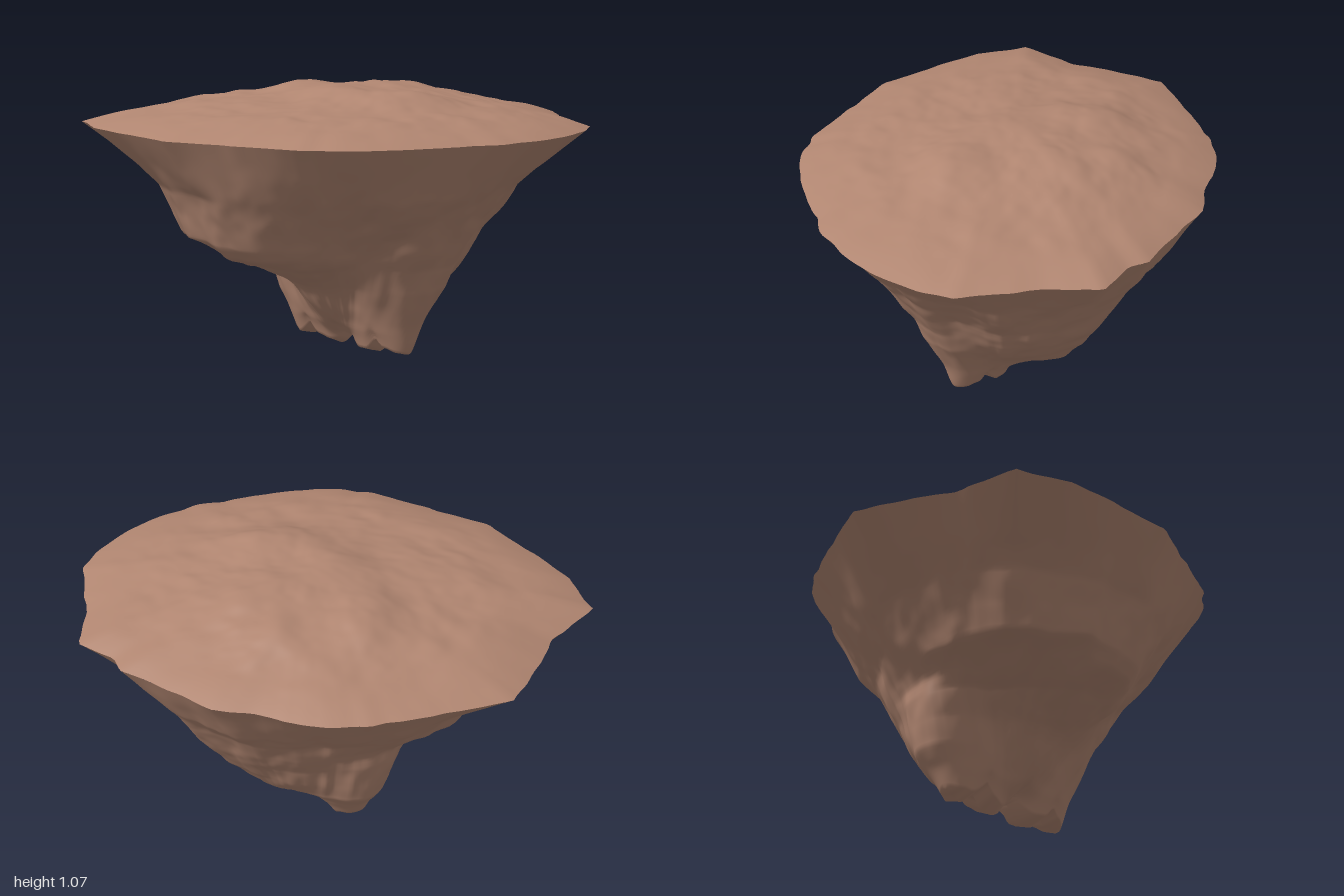
import * as THREE from 'three';

const SEGS = 220;
const CX = 0.08, CZ = -0.03; // axis of the rock
const RIM_Y = 0.925;

// Shoreline as x, z pairs
const RIM = [[1, .1], [.97, .22], [.93, .3], [.87, .4], [.75, .52], [.62, .62], [.52, .65], [.4, .71], [.2, .78],
  [.07, .8], [-.1, .78], [-.2, .74], [-.4, .65], [-.6, .57], [-.7, .45], [-.8, .34], [-.92, .2], [-.95, .1],
  [-1, 0], [-.93, -.1], [-.85, -.2], [-.8, -.36], [-.7, -.6], [-.5, -.68], [-.2, -.79], [-.05, -.81], [.1, -.79],
  [.2, -.76], [.36, -.75], [.5, -.66], [.72, -.55], [.76, -.48], [.91, -.4], [.92, -.2], [.96, -.05]];

// Underside radii every 45 degrees, from +x towards +z: height, eight radii
const LEVELS = [
  [.05, .05, .31, .05, .025, .05, .31, .05, .03],
  [.12, .18, .34, .15, .13, .15, .35, .20, .18],
  [.20, .27, .38, .21, .21, .20, .40, .30, .30],
  [.30, .37, .43, .28, .31, .27, .42, .35, .39],
  [.40, .45, .46, .37, .47, .36, .45, .39, .46],
  [.45, .48, .49, .42, .61, .50, .46, .42, .49],
  [.50, .50, .52, .47, .66, .66, .50, .45, .52],
  [.60, .57, .59, .56, .70, .71, .58, .50, .58],
  [.70, .65, .67, .65, .74, .77, .67, .59, .66]];

// Hills on the land: x, z, height, width along x, width along z
const HILLS = [[-.15, -.27, .065, .11, .13], [.28, .16, .08, .2, .11], [.24, -.2, .065, .19, .18],
  [0, 0, .06, .19, .16], [-.5, -.3, .012, .2, .12], [.08, -.42, .035, .3, .1]];

const lerp = THREE.MathUtils.lerp, smooth = THREE.MathUtils.smoothstep;

function hash(x, y, z) {
  const s = Math.sin(x * 127.1 + y * 311.7 + z * 74.7) * 43758.5453;
  return s - Math.floor(s);
}

function noise(x, y, z) {
  const i = Math.floor(x), j = Math.floor(y), k = Math.floor(z);
  const f = (t) => t * t * (3 - 2 * t);
  const u = f(x - i), v = f(y - j), w = f(z - k);
  const row = (b, c) => lerp(hash(i, b, c), hash(i + 1, b, c), u);
  const sheet = (c) => lerp(row(j, c), row(j + 1, c), v);
  return lerp(sheet(k), sheet(k + 1), w) * 2 - 1;
}

const fbm = (x, y, z) => noise(x, y, z) * .6 + noise(x * 2.1, y * 2.1, z * 2.1) * .3 + noise(x * 4.3, y * 4.3, z * 4.3) * .12;

// Distance from the axis to the shoreline at an angle
function rimRadius(a) {
  const dx = Math.cos(a), dz = Math.sin(a);
  let best = 0;
  RIM.forEach(([x, z], i) => {
    const [x2, z2] = RIM[(i + 1) % RIM.length];
    const ex = x2 - x, ez = z2 - z, px = x - CX, pz = z - CZ;
    const det = dx * ez - dz * ex;
    if (Math.abs(det) < 1e-9) return;
    const r = (px * ez - pz * ex) / det, s = (px * dz - pz * dx) / det;
    if (r > 0 && s >= -1e-6 && s <= 1 + 1e-6) best = Math.max(best, r);
  });
  return best + .008 * noise(dx * 14, 3.5, dz * 14);
}

// Smooth interpolation round the eight radii of one level
function levelRadius(level, a) {
  const t = a / (Math.PI / 4), i = Math.floor(t), f = t - i;
  const r = (k) => level[1 + ((i + k + 8) % 8)];
  const m0 = (r(1) - r(-1)) / 2, m1 = (r(2) - r(0)) / 2, d = r(1) - r(0);
  return r(0) + f * (m0 + f * (3 * d - 2 * m0 - m1 + f * (m0 + m1 - 2 * d)));
}

function sideRadius(y, a, rim) {
  for (let i = 1; i < LEVELS.length; i++) {
    const lo = LEVELS[i - 1], hi = LEVELS[i];
    if (y <= hi[0]) return lerp(levelRadius(lo, a), levelRadius(hi, a), (y - lo[0]) / (hi[0] - lo[0]));
  }
  return lerp(levelRadius(LEVELS.at(-1), a), rim, (y - .7) / (RIM_Y - .7));
}

// Closed rings joined into one smooth surface
function loft(rings, point) {
  const pos = [], index = [];
  for (let j = 0; j <= rings; j++) {
    for (let i = 0; i < SEGS; i++) {
      pos.push(...point(j / rings, i / SEGS * Math.PI * 2, j));
      if (j === rings) continue;
      const n = (i + 1) % SEGS, a = j * SEGS, b = a + SEGS;
      index.push(a + i, b + i, a + n, a + n, b + i, b + n);
    }
  }
  const geo = new THREE.BufferGeometry();
  geo.setAttribute('position', new THREE.Float32BufferAttribute(pos, 3));
  geo.setIndex(index);
  geo.computeVertexNormals();
  return geo;
}

// Craggy underside, closing at the bottom in a toothed diagonal ridge
function undersidePoint(v, a, ring) {
  const dx = Math.cos(a), dz = Math.sin(a);
  let y = lerp(.05, RIM_Y, v);
  let r = sideRadius(y, a, rimRadius(a));
  const rough = smooth(y, .05, .3) * (1 - smooth(y, .6, .9));
  const x0 = dx * r, z0 = dz * r;
  const t = (x0 + z0) / Math.SQRT2 + .035; // position along the ridge
  const wave = Math.abs(Math.sin((t - .055) / .19 * Math.PI));
  const teeth = .03 - .06 * wave + .012 * noise(t * 30, 2, 7);
  const low = 1 - smooth(y, .05, .16);
  r += rough * (.035 * fbm(x0 * 5, y * 3, z0 * 5) + .015 * fbm(dx * 6, y * 1.5, dz * 6));
  r += .02 * fbm(dx * 4, y * 2, dz * 4) * smooth(y, .5, .7) * (1 - smooth(y, .7, RIM_Y));
  y += rough * .02 * fbm(x0 * 7, 5, z0 * 7) + teeth * low;
  if (ring === 0) {
    const k = (x0 + z0) / 2;
    return [CX + k, Math.max(0, .036 + teeth + .02 * smooth(Math.abs(t - .035), .2, .31)), CZ + k];
  }
  return [CX + dx * r, Math.max(.003, y), CZ + dz * r];
}

// Land rising gently from the shore to a plateau with worn hills
function landPoint(v, a) {
  const r = rimRadius(a) * (1 - v);
  const x = CX + Math.cos(a) * r, z = CZ + Math.sin(a) * r;
  let h = .118 * (1 - Math.exp(-2.4 * v)) / (1 - Math.exp(-2.4));
  for (const [hx, hz, height, wx, wz] of HILLS) {
    h += height * Math.exp(-(((x - hx) / wx) ** 2) - ((z - hz) / wz) ** 2);
  }
  h = .21 * Math.tanh(h / .19) * .93; // worn-down summit
  h += .018 * smooth(v, 0, .35) * fbm(x * 6, 1.3, z * 7);
  return [x, RIM_Y + Math.min(.197, h), z];
}

export function createModel() {
  const group = new THREE.Group();
  group.name = 'floatingIsland';
  const rock = new THREE.MeshStandardMaterial({ color: 0xb18671 });
  rock.name = 'brown rock';
  const add = (name, geometry) => {
    const mesh = new THREE.Mesh(geometry, rock);
    mesh.name = name;
    group.add(mesh);
  };
  add('underside', loft(80, undersidePoint));
  add('landSurface', loft(60, landPoint));
  return group;
}
